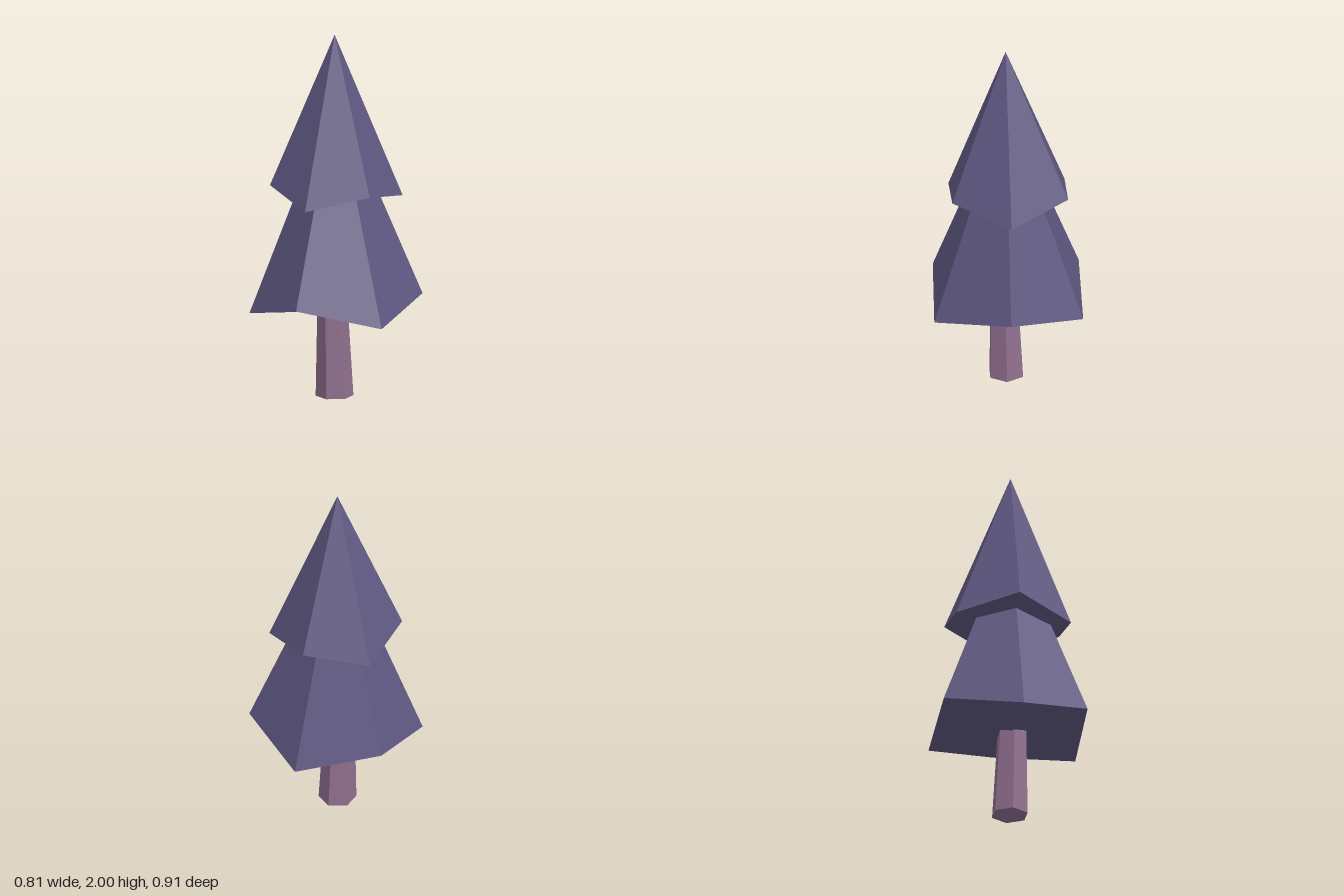
import * as THREE from 'three';

// Closed flat-shaded skin through rings of equal length; a ring of one point is a tip.
function skin(name, rings, color) {
  const pos = [];
  const tri = (...pts) => pts.forEach((p) => pos.push(...p));
  for (let r = 0; r < rings.length - 1; r++) {
    const lo = rings[r], hi = rings[r + 1];
    const n = Math.max(lo.length, hi.length);
    for (let i = 0; i < n; i++) {
      const j = (i + 1) % n;
      if (lo.length > 1) tri(lo[i], lo[j], hi[j % hi.length]);
      if (hi.length > 1) tri(lo[i % lo.length], hi[j], hi[i]);
    }
  }
  const geometry = new THREE.BufferGeometry();
  geometry.setAttribute('position', new THREE.Float32BufferAttribute(pos, 3));
  geometry.computeVertexNormals();
  const mesh = new THREE.Mesh(geometry, new THREE.MeshStandardMaterial({ color, flatShading: true }));
  mesh.name = name;
  return mesh;
}

// Regular six-sided ring, first corner towards the front
function hexRing(cx, y, cz, radius) {
  return Array.from({ length: 6 }, (_, i) => {
    const a = (i * Math.PI) / 3;
    return [cx + radius * Math.sin(a), y, cz + radius * Math.cos(a)];
  });
}

export function createModel() {
  const tree = new THREE.Group();
  tree.name = 'tree';
  const foliage = 0x5f5882;
  const bark = 0x90708f;

  // Slightly leaning, tapered trunk
  tree.add(skin('trunk', [
    [[-0.005, 0, 0.01]],
    hexRing(-0.005, 0, 0.01, 0.102),
    hexRing(-0.01, 0.5, 0.024, 0.082),
    [[-0.01, 0.5, 0.024]],
  ], bark));

  // Lower branches: zigzag rim, tip hidden inside the upper tier
  tree.add(skin('lowerFoliage', [
    [[0, 0.466, 0]],
    [[-0.01, 0.56, 0.457], [0.397, 0.46, 0.24], [0.405, 0.56, -0.23],
      [0, 0.46, -0.458], [-0.403, 0.56, -0.225], [-0.405, 0.46, 0.235]],
    [[0, 1.68, 0.012]],
  ], foliage));

  // Upper branches: zigzag rim the other way round
  tree.add(skin('upperFoliage', [
    [[0, 1.1, 0]],
    [[-0.005, 1.09, 0.36], [0.296, 1.165, 0.183], [0.309, 1.103, -0.182],
      [0, 1.18, -0.367], [-0.312, 1.103, -0.185], [-0.31, 1.168, 0.178]],
    [[-0.003, 2, 0.013]],
  ], foliage));

  return tree;
}
